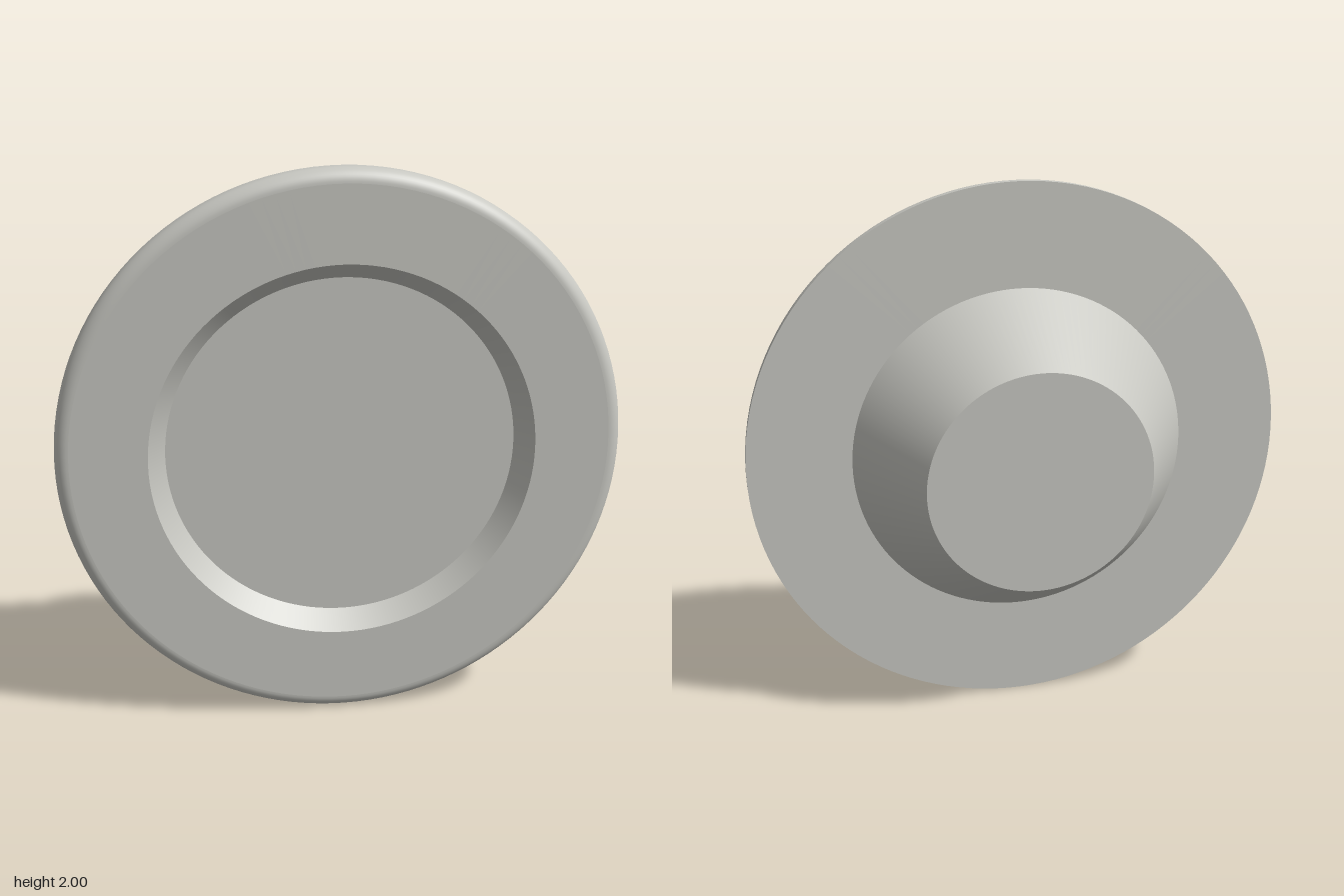
import * as THREE from 'three';

const SEGMENTS = 128;

export function createModel() {
  const group = new THREE.Group();
  group.name = 'recessedLight';

  const paint = new THREE.MeshStandardMaterial({ color: 0xc8c8c2 });
  paint.name = 'warm grey';

  // Dimensions: radii and depths along z
  const back = -0.205, rimBack = 0.13, front = 0.205;
  const backR = 0.41, housingR = 0.622, openingR = 0.682, rimR = 1, round = 0.05;

  // Turns a profile of [radius, z] points around the z axis
  function turned(name, points) {
    const geometry = new THREE.LatheGeometry(points.map(([r, z]) => new THREE.Vector2(r, z)), SEGMENTS);
    geometry.rotateX(Math.PI / 2);
    const mesh = new THREE.Mesh(geometry, paint);
    mesh.name = name;
    mesh.position.y = 1;
    group.add(mesh);
  }

  // Rounded front edge of the rim
  const edge = [];
  for (let i = 0; i <= 10; i++) {
    const a = (i / 10) * Math.PI / 2;
    edge.push([rimR - round + round * Math.cos(a), front - round + round * Math.sin(a)]);
  }

  // Separate surfaces keep the edges between them crisp
  turned('housingBack', [[0, back], [backR, back]]);
  turned('housingCone', [[backR, back], [housingR, rimBack]]);
  turned('rimBack', [[housingR, rimBack], [rimR, rimBack]]);
  turned('rimSide', [[rimR, rimBack], [rimR, front - round]]);
  turned('rimRoundedEdge', edge);
  turned('rimFront', [[rimR - round, front], [openingR, front]]);
  turned('recessWall', [[openingR, front], [housingR, rimBack]]);
  turned('lens', [[housingR, rimBack], [0, rimBack]]);

  return group;
}
